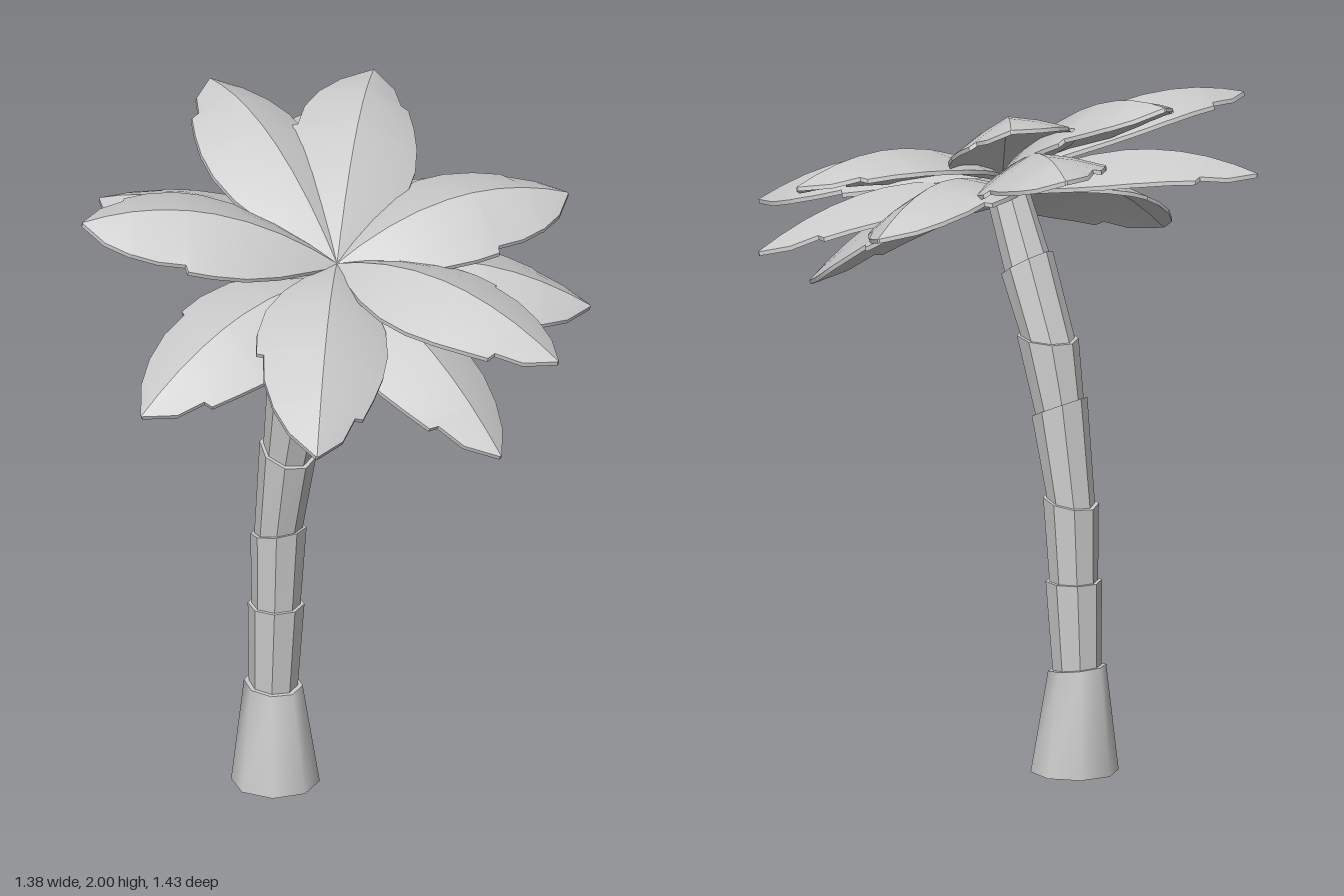
import * as THREE from 'three';
import { toCreasedNormals } from 'three/addons/utils/BufferGeometryUtils.js';

const bark = new THREE.MeshStandardMaterial({ color: 0xcccccc, flatShading: true });
const smooth = new THREE.MeshStandardMaterial({ color: 0xcccccc });
const TRUNK_Z = 0.017;

// Eight-sided trunk piece between two rings, each ring leaning by its own angle
function trunkPiece(name, low, high, material) {
  const geo = new THREE.CylinderGeometry(1, 1, 1, 8, 1);
  const p = geo.attributes.position;
  for (let i = 0; i < p.count; i++) {
    const ring = p.getY(i) > 0 ? high : low;
    const u = p.getX(i) * ring.r, w = p.getZ(i) * ring.r;
    p.setXYZ(i, ring.x + u * Math.cos(ring.lean), ring.y - u * Math.sin(ring.lean), TRUNK_Z + w);
  }
  const mesh = new THREE.Mesh(toCreasedNormals(geo, 0.9), material);
  mesh.name = name;
  return mesh;
}

// Leaf outline: position along the rib, half width on each side (with torn notches)
const OUTLINE = [
  [0, 0.012, 0.012], [0.1, 0.07, 0.07], [0.22, 0.13, 0.13], [0.35, 0.172, 0.172],
  [0.48, 0.187, 0.187], [0.58, 0.18, 0.184], [0.59, 0.18, 0.164], [0.7, 0.158, 0.157],
  [0.8, 0.13, 0.13], [0.81, 0.106, 0.128], [0.91, 0.075, 0.08], [1, 0.003, 0.003],
];
const ACROSS = [-1, -0.5, 0, 0.5, 1];
const THICK = 0.012;
const CROWN_UP = new THREE.Vector3(0.27, 0.96, 0).normalize();

// Thin arched leaf folded down along its rib, from root to tip
function leaf(root, tip, flip) {
  const dir = tip.clone().sub(root).normalize();
  const side = new THREE.Vector3().crossVectors(dir, CROWN_UP).normalize();
  const up = new THREE.Vector3().crossVectors(side, dir);
  const pos = [], index = [];
  for (const [t, a, b] of OUTLINE) {
    const rib = root.clone().lerp(tip, t);
    rib.y += 0.37 * t * (1 - t);
    const loop = [...ACROSS.map(s => [s, 0]), ...[...ACROSS].reverse().map(s => [s, -THICK])];
    for (const [s, drop] of loop) {
      const half = s * flip < 0 ? a : b;
      const fold = -0.42 * half * Math.pow(Math.abs(s), 1.25);
      const v = rib.clone().addScaledVector(side, s * half).addScaledVector(up, fold + drop);
      pos.push(v.x, v.y, v.z);
    }
  }
  const n = ACROSS.length * 2, rows = OUTLINE.length;
  for (let r = 0; r < rows - 1; r++) {
    for (let k = 0; k < n; k++) {
      const a = r * n + k, b = r * n + (k + 1) % n;
      index.push(a, b, a + n, b, b + n, a + n);
    }
  }
  // Close both ends
  const last = (rows - 1) * n;
  for (let k = 1; k < n - 1; k++) {
    index.push(0, k + 1, k);
    index.push(last, last + k, last + k + 1);
  }
  const geo = new THREE.BufferGeometry();
  geo.setAttribute('position', new THREE.Float32BufferAttribute(pos, 3));
  geo.setIndex(index);
  return new THREE.Mesh(toCreasedNormals(geo, 0.5), smooth);
}

export function createModel() {
  const model = new THREE.Group();
  model.name = 'palmTree';

  // Trunk: flared foot, then segments that each widen towards the top
  const trunk = new THREE.Group();
  trunk.name = 'trunk';
  trunk.add(trunkPiece('trunkFoot',
    { x: -0.253, y: 0, r: 0.125, lean: 0 }, { x: -0.262, y: 0.3, r: 0.083, lean: 0.12 }, smooth));
  const joints = [
    [-0.262, 0.29, 0.08, 0.1], [-0.25, 0.55, 0.08, 0], [-0.24, 0.78, 0.08, -0.2],
    [-0.2, 1.045, 0.083, 0.42], [-0.158, 1.242, 0.088, -0.1], [-0.085, 1.445, 0.08, 0.55],
    [-0.01, 1.655, 0.06, 0.4],
  ];
  for (let i = 0; i < joints.length - 1; i++) {
    const [x0, y0, r0, l0] = joints[i], [x1, y1, r1, l1] = joints[i + 1];
    trunk.add(trunkPiece('trunkSegment',
      { x: x0, y: y0, r: r0 - 0.011, lean: l0 }, { x: x1, y: y1, r: r1, lean: l1 }, bark));
  }
  model.add(trunk);

  // Crown: two layers of six leaves, given by their tips
  const layers = [
    ['upperLeaf', 1.69, [
      [0.69, 1.56, -0.21], [0.19, 1.76, -0.69], [-0.43, 1.98, -0.51],
      [-0.66, 2.0, -0.1], [-0.39, 1.87, 0.62], [0.49, 1.42, 0.52]]],
    ['lowerLeaf', 1.645, [
      [0.64, 1.3, -0.04], [0.41, 1.52, -0.58], [-0.12, 1.66, -0.72],
      [-0.57, 1.84, -0.44], [-0.69, 1.74, 0.29], [-0.04, 1.42, 0.71]]],
  ];
  const crown = new THREE.Group();
  crown.name = 'crown';
  for (const [name, rootY, tips] of layers) {
    tips.forEach((tip, i) => {
      const mesh = leaf(new THREE.Vector3(0, rootY, 0.01), new THREE.Vector3(...tip), i % 2 ? 1 : -1);
      mesh.name = name;
      crown.add(mesh);
    });
  }
  model.add(crown);
  return model;
}
